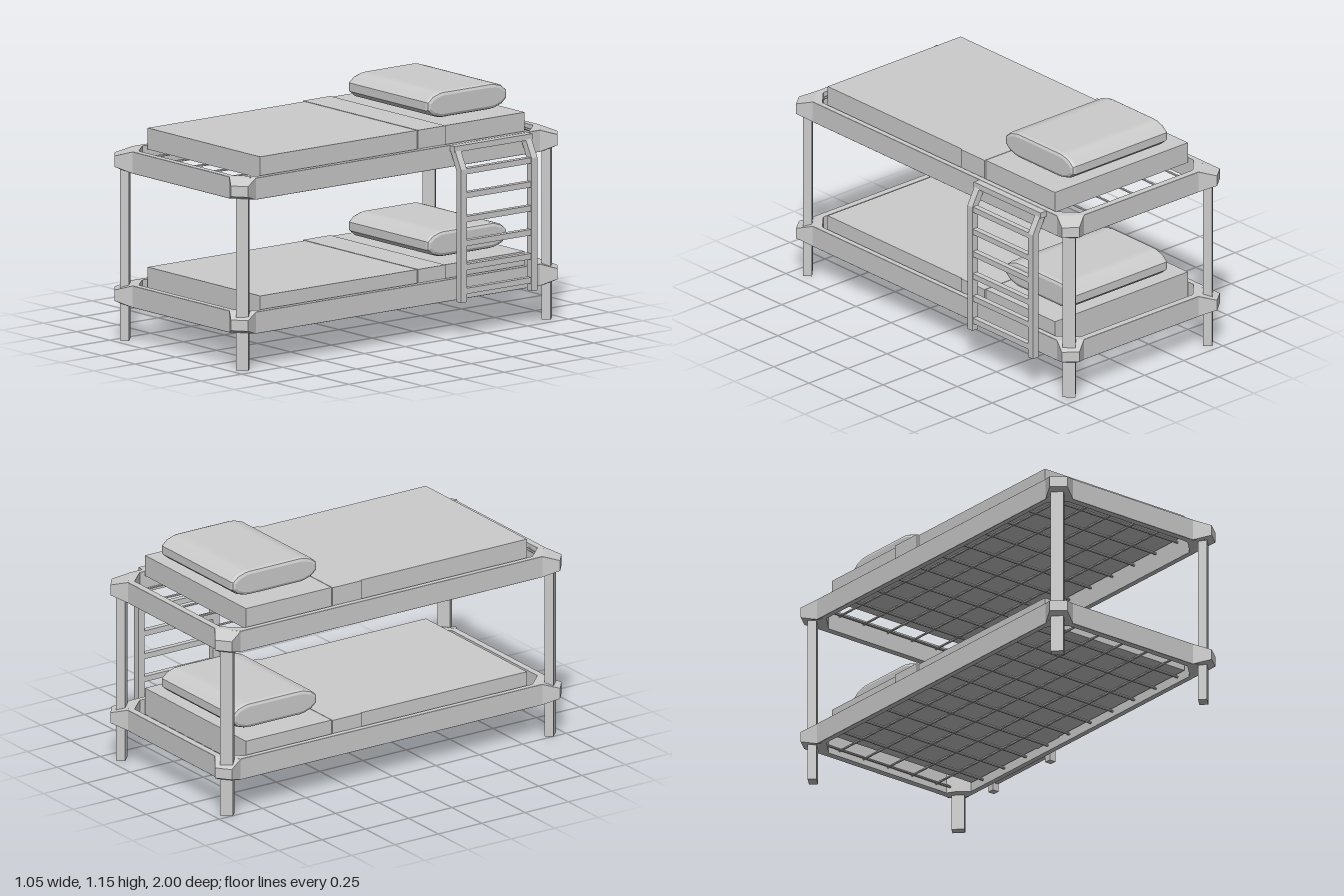
import * as THREE from 'three';

const mat = new THREE.MeshStandardMaterial({ color: 0xcccccc, flatShading: true, side: THREE.DoubleSide });

function add(parent, name, geometry, x = 0, y = 0, z = 0) {
  const mesh = new THREE.Mesh(geometry, mat);
  mesh.name = name;
  mesh.position.set(x, y, z);
  parent.add(mesh);
  return mesh;
}

// Box given by its limits on each axis
function addBox(parent, name, x0, x1, y0, y1, z0, z1) {
  return add(parent, name, new THREE.BoxGeometry(x1 - x0, y1 - y0, z1 - z0),
    (x0 + x1) / 2, (y0 + y1) / 2, (z0 + z1) / 2);
}

function shapeOf(points) {
  return new THREE.Shape(points.map(([x, y]) => new THREE.Vector2(x, y)));
}

// Closed ring of rails with flared corner blocks, height 0 to 0.106
function frameGeometry() {
  const H = 0.106;
  // One corner: each cross-section runs from inner top over the outside to inner bottom
  const corner = [
    [[0.44, H, 0.83], [0.467, H, 0.87], [0.468, H - 0.001, 0.87], [0.468, 0.001, 0.87], [0.467, 0, 0.87], [0.44, 0, 0.83]],
    [[0.413, H, 0.86], [0.434, H, 0.897], [0.505, 0.08, 0.947], [0.505, 0.028, 0.947], [0.478, 0.013, 0.93], [0.413, 0.004, 0.86]],
    [[0.387, H, 0.887], [0.4, H, 0.923], [0.44, 0.08, 1], [0.44, 0.028, 1], [0.427, 0.013, 0.973], [0.387, 0.004, 0.887]],
    [[0.36, H, 0.915], [0.366, H, 0.949], [0.366, H - 0.001, 0.95], [0.366, 0.001, 0.95], [0.366, 0, 0.949], [0.36, 0, 0.915]],
  ];
  const positions = [], index = [];
  for (const [sx, sz] of [[1, 1], [-1, 1], [-1, -1], [1, -1]]) {
    const sections = sx * sz > 0 ? corner : [...corner].reverse();
    for (const section of sections) for (const [x, y, z] of section) positions.push(x * sx, y, z * sz);
  }
  for (let s = 0; s < 16; s++) {
    for (let i = 0; i < 6; i++) {
      const j = (i + 1) % 6, n = (s + 1) % 16;
      const a = s * 6 + i, b = s * 6 + j, c = n * 6 + j, d = n * 6 + i;
      index.push(a, d, b, b, d, c);
    }
  }
  const g = new THREE.BufferGeometry();
  g.setAttribute('position', new THREE.Float32BufferAttribute(positions, 3));
  g.setIndex(index);
  g.computeVertexNormals();
  return g;
}

// Pillow: rounded side profile (z, y) extruded across the bed with bevelled ends
function pillowGeometry() {
  const quarter = [[0.226, 0.012], [0.203, 0.031], [0.165, 0.043], [0.145, 0.045]];
  const upper = [...quarter, ...quarter.map(([z, y]) => [-z, y]).reverse()];
  const lower = upper.map(([z, y]) => [z, -y]).reverse();
  const g = new THREE.ExtrudeGeometry(shapeOf([...upper, ...lower]), {
    depth: 0.572, bevelEnabled: true, bevelThickness: 0.02, bevelSize: 0.018, bevelSegments: 2,
  });
  g.translate(0, 0, -0.286);
  g.rotateY(Math.PI / 2);
  return g;
}

// Wire grid, mattress, folded blanket and pillow between the mattress underside and top
function addBedding(parent, bottom, top) {
  const grid = new THREE.Group();
  grid.name = 'wireGrid';
  grid.position.y = bottom - 0.006;
  parent.add(grid);
  const addWire = (name, axis, length, x, z) => {
    const wire = add(grid, name, new THREE.CylinderGeometry(0.006, 0.006, length, 6), x, 0, z);
    wire.rotation[axis] = Math.PI / 2;
  };
  for (let i = -2; i <= 2; i++) addWire('longWire', 'x', 1.84, i * 0.147, 0);
  for (let i = 0; i < 10; i++) addWire('crossWire', 'z', 0.9, 0, -0.74 + i * 0.1645);
  for (const z of [-0.9, 0.9]) addWire('endWire', 'z', 0.74, 0, z);

  addBox(parent, 'mattress', -0.424, 0.426, bottom, top, -0.81, 0.81);
  addBox(parent, 'blanketFold', -0.435, 0.435, bottom + 0.002, top + 0.002, -0.317, -0.15);
  add(parent, 'pillow', pillowGeometry(), 0, top + 0.07, -0.56);
}

export function createModel() {
  const model = new THREE.Group();
  model.name = 'bunkBed';

  const bed = new THREE.Group();
  bed.name = 'bed';
  bed.position.x = -0.023;
  model.add(bed);

  // Lower and upper bunks
  for (const [name, frameY, bottom, top] of [['lowerBunk', 0.17, 0.205, 0.339], ['upperBunk', 0.822, 0.912, 1.016]]) {
    const bunk = new THREE.Group();
    bunk.name = name;
    bed.add(bunk);
    add(bunk, 'frame', frameGeometry(), 0, frameY, 0);
    addBedding(bunk, bottom, top);
  }

  // Posts: rectangular bars turned to face the corners
  for (const sx of [-1, 1]) {
    for (const sz of [-1, 1]) {
      const post = add(bed, 'post', new THREE.BoxGeometry(0.061, 0.88, 0.043), sx * 0.444, 0.44, sz * 0.931);
      post.rotation.y = sx * sz * Math.PI / 4;
    }
  }

  // Ladder on the left side: bent side rails, rungs and a bar resting on the frame
  const ladder = new THREE.Group();
  ladder.name = 'ladder';
  model.add(ladder);
  const railShape = shapeOf([[0.49, 0.173], [0.525, 0.173], [0.525, 0.82], [0.48, 0.905],
    [0.45, 0.905], [0.45, 0.89], [0.49, 0.81]]);
  for (const z of [-0.789, -0.357]) {
    add(ladder, 'ladderRail', new THREE.ExtrudeGeometry(railShape, { depth: 0.035, bevelEnabled: false }), 0, 0, z);
  }
  for (let i = 0; i < 6; i++) {
    const y = 0.808 - i * 0.1165;
    addBox(ladder, 'rung', 0.493, 0.522, y - 0.014, y + 0.014, -0.76, -0.35);
  }
  addBox(ladder, 'topBar', 0.442, 0.481, 0.898, 0.927, -0.795, -0.318);

  return model;
}
